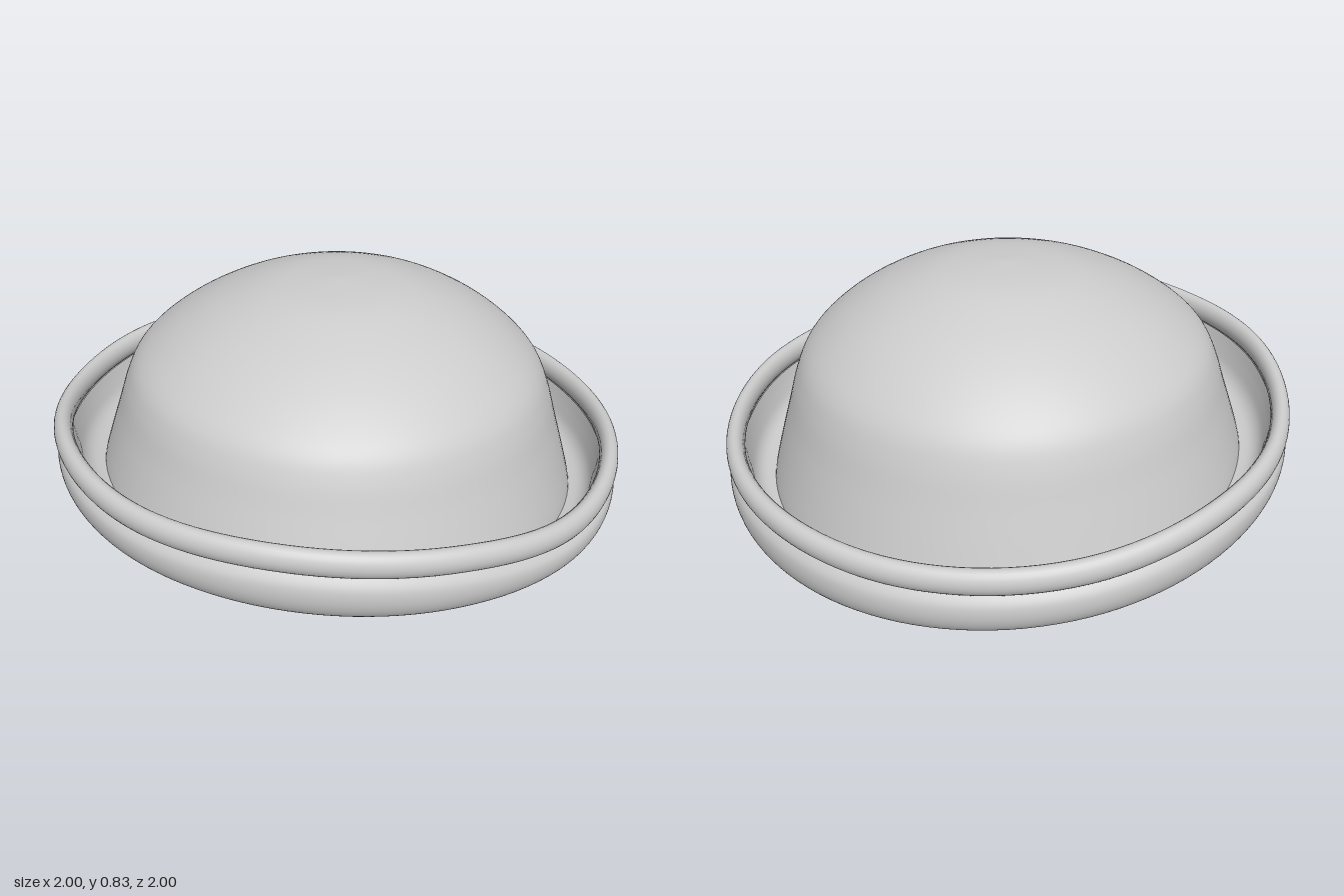
import * as THREE from 'three';
import { mergeVertices } from 'three/addons/utils/BufferGeometryUtils.js';

const SEGMENTS = 128;
const TILT = 0.1; // the hat sits higher at the front
const BASE = 0.0875;

// Height of the rolled edge's lower crease, every 30 degrees from the front towards +x
const rimHeights = [0.355, 0.365, 0.32, 0.23, 0.21, 0.185, 0.185, 0.185, 0.21, 0.265, 0.29, 0.345];
const rimCurve = new THREE.CatmullRomCurve3(
  rimHeights.map((h) => new THREE.Vector3(h, 0, 0)), true, 'catmullrom', 0.5);

function smoothProfile(points, count) {
  return new THREE.SplineCurve(points.map(([r, y]) => new THREE.Vector2(r, y))).getPoints(count);
}

// Revolve a profile, then reset each vertex height by a rule
function shapedLathe(profile, heightAt) {
  let geometry = new THREE.LatheGeometry(profile, SEGMENTS);
  const pos = geometry.attributes.position;
  for (let i = 0; i < pos.count; i++) {
    pos.setY(i, heightAt(pos.getX(i), pos.getY(i), pos.getZ(i)));
  }
  geometry.deleteAttribute('uv');
  geometry.deleteAttribute('normal');
  geometry = mergeVertices(geometry, 1e-5);
  geometry.computeVertexNormals();
  return geometry;
}

export function createModel() {
  const hat = new THREE.Group();
  hat.name = 'hat';
  const felt = new THREE.MeshStandardMaterial({ color: 0xcccccc, side: THREE.DoubleSide });
  felt.name = 'grey felt';

  function add(name, geometry) {
    const mesh = new THREE.Mesh(geometry, felt);
    mesh.name = name;
    hat.add(mesh);
  }

  // Crown: hollow dome, its tilt fading out towards the top
  const crownProfile = smoothProfile([
    [0.85, 0], [0.84, 0.06], [0.81, 0.16], [0.775, 0.27], [0.74, 0.38], [0.7, 0.46],
    [0.63, 0.53], [0.53, 0.6], [0.4, 0.665], [0.22, 0.722], [0, 0.741],
  ], 60);
  crownProfile[crownProfile.length - 1].x = 0;
  add('crown', shapedLathe(crownProfile,
    (x, y, z) => BASE + y + TILT * z * (1 - y / 0.75)));

  // Brim heights: 0 is the base plane, 1 is the wavy crease; above 1 is distance over the crease
  const brimHeight = (x, v, z) => {
    const turn = (Math.atan2(x, z) / (2 * Math.PI) + 1) % 1;
    const crease = rimCurve.getPoint(turn).x;
    const base = BASE + TILT * z;
    return v <= 1 ? base + (crease - base) * v : crease + v - 1;
  };

  // Upturned brim: underside, outer wall and inner trough
  const outer = smoothProfile([
    [0.85, 0], [0.885, 0.005], [0.93, 0.06], [0.975, 0.22], [0.995, 0.48], [0.993, 0.78], [0.965, 1],
  ], 36);
  add('brimOutside', shapedLathe(outer, brimHeight));
  const inner = smoothProfile([
    [0.945, 1], [0.93, 0.72], [0.91, 0.45], [0.88, 0.3], [0.835, 0.25],
  ], 24);
  add('brimInside', shapedLathe(inner, brimHeight));

  // Rolled edge following the wavy top of the brim
  const roll = [];
  for (let i = 0; i <= 24; i++) {
    const a = -Math.PI / 2 + (i / 24) * Math.PI * 2;
    roll.push(new THREE.Vector2(0.967 + 0.032 * Math.cos(a), 1.036 + 0.044 * Math.sin(a)));
  }
  add('rolledEdge', shapedLathe(roll, (x, v, z) => brimHeight(x, 1, z) + v - 1));

  return hat;
}
